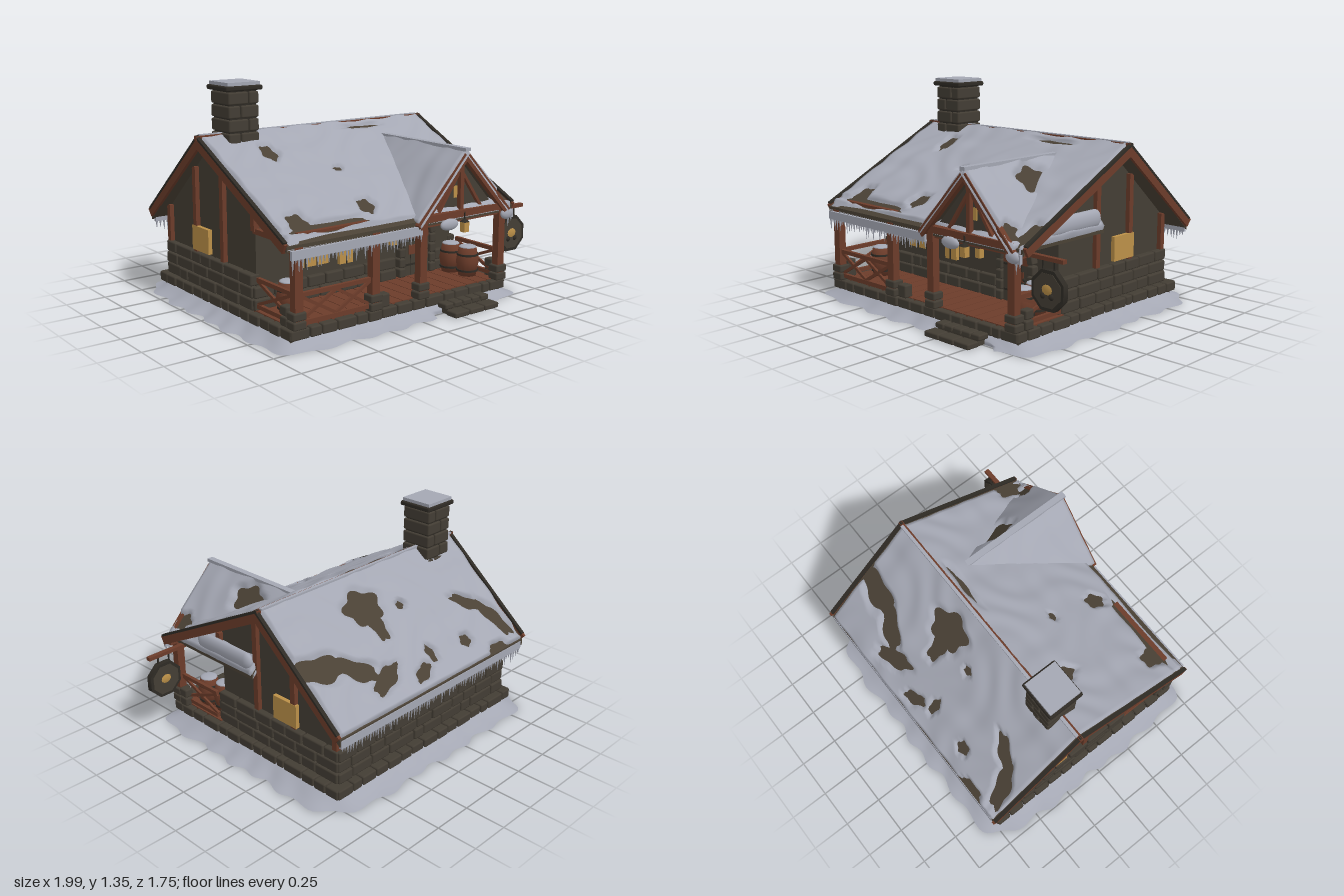
import * as THREE from 'three';
import { RoundedBoxGeometry } from 'three/addons/geometries/RoundedBoxGeometry.js';

export function createModel() {
  const house = new THREE.Group();
  house.name = 'snowyCottage';
  const paint = (name, color, side = THREE.FrontSide) => {
    const m = new THREE.MeshStandardMaterial({ color, side });
    m.name = name;
    return m;
  };
  const snow = paint('snow', 0xa4a7b3, THREE.DoubleSide);
  const stone = paint('stone', 0x433d34);
  const wall = paint('wall', 0x443e34);
  const shingle = paint('shingle', 0x4a4135);
  const wood = paint('wood', 0x6c3c2a);
  const dark = paint('darkTrim', 0x2f2b25);
  const glow = paint('glow', 0xbb9048);

  let seed = 7;
  const rnd = () => (seed = (seed * 16807) % 2147483647) / 2147483647;
  const V = (x, y, z) => new THREE.Vector3(x, y, z);
  const add = (name, geo, mat, x = 0, y = 0, z = 0, parent = house) => {
    const m = new THREE.Mesh(geo, mat);
    m.name = name;
    m.position.set(x, y, z);
    parent.add(m);
    return m;
  };
  const box = (name, mat, x0, x1, y0, y1, z0, z1, parent) =>
    add(name, new THREE.BoxGeometry(x1 - x0, y1 - y0, z1 - z0), mat, (x0 + x1) / 2, (y0 + y1) / 2, (z0 + z1) / 2, parent);
  const block = (name, x0, x1, y0, y1, z0, z1) =>
    add(name, new RoundedBoxGeometry(x1 - x0, y1 - y0, z1 - z0, 1, 0.01), stone, (x0 + x1) / 2, (y0 + y1) / 2, (z0 + z1) / 2);
  // Timber between two points
  const bar = (name, a, b, w, h, mat = wood) => {
    const m = add(name, new THREE.BoxGeometry(w, h, a.distanceTo(b)), mat);
    m.position.copy(a).lerp(b, 0.5);
    m.lookAt(b);
    return m;
  };
  const prism = (pts, depth) =>
    new THREE.ExtrudeGeometry(new THREE.Shape(pts.map(p => new THREE.Vector2(...p))), { depth, bevelEnabled: false });
  // Row of uneven stones along x or z
  const stoneRow = (name, alongX, a, b, across, t, y, h, n) => {
    const cuts = [a];
    for (let i = 1; i < n; i++) cuts.push(a + (b - a) * (i + (rnd() - 0.5) * 0.5) / n);
    cuts.push(b);
    for (let i = 0; i < n; i++) {
      const p = cuts[i] + 0.003, q = cuts[i + 1] - 0.003, o = t / 2 + rnd() * 0.007;
      if (alongX) block(name, p, q, y, y + h, across - o, across + o);
      else block(name, across - o, across + o, y, y + h, p, q);
    }
  };

  // Foundation, porch floor and body
  box('foundation', wall, -0.85, 0.73, 0.01, 0.1, -0.71, 0.69);
  for (const z of [-0.71, 0.69]) stoneRow('baseStone', true, -0.87, 0.75, z, 0.06, 0.05, 0.06, 15);
  for (const x of [-0.84, 0.72]) stoneRow('baseStone', false, -0.74, 0.72, x, 0.06, 0.05, 0.06, 14);
  for (let i = 0; i < 18; i++) box('porchPlank', wood, -0.83 + i * 0.086, -0.749 + i * 0.086, 0.09, 0.115, 0.3, 0.68);
  const body = add('houseBody', prism([[-0.3, 0.1], [0.66, 0.1], [0.66, 0.575], [0.17, 1.005], [-0.3, 0.765]], 1.48), wall, -0.81);
  body.rotation.y = Math.PI / 2;
  for (let r = 0; r < 3; r++) {
    const y = 0.11 + r * 0.071;
    for (const x of [-0.82, 0.68]) stoneRow('wallStone', false, -0.69, 0.31, x, 0.05, y, 0.066, 7 - r % 2);
    stoneRow('wallStone', true, -0.84, 0.7, -0.67, 0.05, y, 0.066, 10 + r % 2);
    if (r < 2) {
      stoneRow('wallStone', true, -0.84, 0.2, 0.3, 0.05, y, 0.066, 7 + r);
      stoneRow('wallStone', true, 0.52, 0.7, 0.3, 0.05, y, 0.066, 2);
    }
  }

  // Lit windows
  const windowAt = (x, y, z, w, h, turn, panes = 0) => {
    const g = new THREE.Group();
    g.name = 'window';
    g.position.set(x, y, z);
    g.rotation.y = turn;
    house.add(g);
    box('windowPane', glow, -w / 2, w / 2, -h / 2, h / 2, -0.01, 0.015, g);
    for (let i = 1; i < panes; i++) box('windowBar', dark, -w / 2 + w * i / panes - 0.004, -w / 2 + w * i / panes + 0.004, -h / 2, h / 2, 0.01, 0.02, g);
    if (panes) box('windowBar', dark, -w / 2, w / 2, h * 0.1 - 0.004, h * 0.1 + 0.004, 0.01, 0.02, g);
  };
  windowAt(-0.45, 0.395, 0.31, 0.25, 0.18, 0, 3);
  windowAt(-0.19, 0.375, 0.31, 0.1, 0.19, 0, 2);
  for (const x of [0.31, -0.35]) windowAt(x, 0.4, -0.653, 0.2, 0.15, Math.PI);
  windowAt(0.685, 0.405, -0.265, 0.19, 0.15, Math.PI / 2);
  windowAt(-0.825, 0.405, -0.265, 0.19, 0.15, -Math.PI / 2);

  // Dark door under a timber arch, with a stone surround
  box('door', wall, 0.265, 0.465, 0.115, 0.36, 0.3, 0.325);
  add('doorArch', new THREE.CylinderGeometry(0.1, 0.1, 0.03, 20, 1, false, Math.PI / 2, Math.PI).rotateX(Math.PI / 2), wood, 0.365, 0.36, 0.312);
  box('doorArchFoot', wood, 0.265, 0.465, 0.35, 0.362, 0.3, 0.327);
  box('doorPanel', wood, 0.3, 0.43, 0.25, 0.31, 0.32, 0.329);
  for (const y of [0.18, 0.335]) box('doorStrap', dark, 0.27, 0.42, y, y + 0.012, 0.325, 0.331);
  for (const x of [0.315, 0.365, 0.415]) box('doorGroove', dark, x - 0.002, x + 0.002, 0.12, 0.35, 0.323, 0.327);
  add('doorKnob', new THREE.SphereGeometry(0.01, 10, 8), dark, 0.44, 0.27, 0.335);
  for (const s of [-1, 1]) for (let i = 0; i < 4; i++)
    block('doorJamb', 0.365 + s * 0.125 - 0.025, 0.365 + s * 0.125 + 0.025, 0.115 + i * 0.063, 0.173 + i * 0.063, 0.28, 0.345);
  for (let i = 0; i < 7; i++) {
    const a = (i + 0.5) / 7 * Math.PI;
    add('archStone', new RoundedBoxGeometry(0.045, 0.052, 0.06, 1, 0.008), stone,
      0.365 + Math.cos(a) * 0.125, 0.365 + Math.sin(a) * 0.125, 0.315).rotation.z = a;
  }

  // Porch posts, footings and beams
  for (const x of [-0.815, -0.29, 0.065, 0.705]) {
    box('porchPost', wood, x - 0.026, x + 0.026, 0.11, 0.56, 0.675, 0.723);
    for (const y of [0.11, 0.16]) block('postFooting', x - 0.043, x + 0.043, y, y + 0.047, 0.66, 0.735);
  }
  for (const x of [-0.825, 0.725]) for (const y of [0.11, 0.17]) block('cornerStone', x - 0.028, x + 0.028, y, y + 0.055, 0.59, 0.655);
  block('porchWallStone', -0.245, -0.175, 0.11, 0.19, 0.65, 0.71);
  bar('eaveBeam', V(-0.86, 0.545, 0.69), V(0.78, 0.545, 0.69), 0.04, 0.035);
  for (const x of [-0.815, 0.7]) {
    bar('sideBeam', V(x, 0.57, 0.3), V(x, 0.57, 0.7), 0.03, 0.03);
    const c = x < 0 ? -0.82 : 0.68;
    for (const [z, low, top] of [[0.31, 0.57, 0.71], [-0.02, 0.32, 0.9], [-0.33, 0.32, 0.84], [-0.66, 0.32, 0.55]])
      box('wallTimber', wood, c - 0.018, c + 0.018, low, top, z - 0.018, z + 0.018);
  }

  // Crossed railings
  const railing = (a, b, n) => {
    const at = (t, y) => a.clone().lerp(b, t).setY(y);
    for (const y of [0.14, 0.295]) bar('rail', at(0, y), at(1, y), 0.022, 0.024);
    for (let i = 0; i < n; i++) {
      bar('railCross', at(i / n, 0.15), at((i + 1) / n, 0.285), 0.014, 0.018);
      bar('railCross', at(i / n, 0.285), at((i + 1) / n, 0.15), 0.014, 0.018);
    }
  };
  railing(V(-0.79, 0, 0.7), V(-0.32, 0, 0.7), 2);
  for (const x of [-0.815, 0.705]) railing(V(x, 0, 0.33), V(x, 0, 0.66), 1);

  // Snow-topped barrels
  for (const [x, z] of [[-0.7, 0.46], [0.59, 0.4], [0.61, 0.53]]) {
    const profile = [[0, 0], [0.055, 0], [0.072, 0.09], [0.055, 0.18], [0, 0.18]].map(p => new THREE.Vector2(...p));
    add('barrel', new THREE.LatheGeometry(profile, 14), wood, x, 0.115, z);
    for (const y of [0.15, 0.25]) add('barrelHoop', new THREE.CylinderGeometry(0.068, 0.068, 0.012, 14), dark, x, y, z);
    add('barrelSnow', new THREE.SphereGeometry(0.055, 14, 8).scale(1, 0.25, 1), snow, x, 0.296, z);
  }

  // Main roof and its edge boards
  const roof = add('mainRoof', prism([[-0.72, 0.54], [-0.72, 0.575], [0.17, 1.03], [0.79, 0.485], [0.79, 0.44], [0.17, 0.985]], 1.68), shingle, -0.89);
  roof.rotation.y = Math.PI / 2;
  for (const x of [-0.895, 0.8]) {
    bar('bargeBoard', V(x, 1.01, -0.18), V(x, 0.56, 0.712), 0.02, 0.055);
    bar('bargeBoard', V(x, 1.01, -0.16), V(x, 0.485, -0.785), 0.02, 0.055);
    bar('bargeCap', V(x, 1.045, -0.18), V(x, 0.592, 0.715), 0.024, 0.014, dark);
    bar('bargeCap', V(x, 1.045, -0.16), V(x, 0.515, -0.785), 0.024, 0.014, dark);
  }
  bar('ridgePole', V(-0.91, 1.035, -0.17), V(0.81, 1.035, -0.17), 0.025, 0.025);
  bar('eaveBoard', V(-0.78, 0.603, 0.645), V(-0.3, 0.603, 0.645), 0.045, 0.03);

  // Entrance gable
  add('gableRoof', prism([[-0.36, 0.535], [0, 0.915], [0.36, 0.535], [0.36, 0.565], [0, 0.95], [-0.36, 0.565]], 0.77), shingle, 0.37, 0, -0.03);
  add('gableWall', prism([[-0.3, 0.58], [0.3, 0.58], [0, 0.9]], 0.03), wall, 0.37, 0, 0.65);
  bar('gableTie', V(0.06, 0.58, 0.71), V(0.72, 0.58, 0.71), 0.045, 0.04);
  bar('gableKingPost', V(0.37, 0.58, 0.7), V(0.37, 0.91, 0.7), 0.028, 0.028);
  for (const s of [-1, 1]) {
    bar('gableRafter', V(0.37 + s * 0.36, 0.545, 0.732), V(0.37, 0.925, 0.732), 0.036, 0.045);
    bar('gableInnerRafter', V(0.37 + s * 0.17, 0.6, 0.69), V(0.37, 0.84, 0.69), 0.025, 0.018);
    box('gablePane', glow, 0.37 + s * 0.027 - 0.013, 0.37 + s * 0.027 + 0.013, 0.67, 0.74, 0.68, 0.686);
  }

  // Drifted snow sheet: thickness sinks below the shingles at bare patches [x, z, rx, rz, turn]
  const snowSheet = (name, origin, u, v, thick, patches, nu = 100, nv = 56) => {
    const n = new THREE.Vector3().crossVectors(u, v).normalize();
    if (n.y < 0) n.negate();
    const pos = [], idx = [];
    for (let j = 0; j <= nv; j++) for (let i = 0; i <= nu; i++) {
      const p = origin.clone().addScaledVector(u, i / nu).addScaledVector(v, j / nv);
      let h = thick * (1 + 0.35 * Math.sin(p.x * 15 + 2 * Math.sin(p.z * 11)) * Math.sin(p.z * 16 + 2 * Math.sin(p.x * 9)));
      for (const [x, z, rx, rz, t = 0] of patches) {
        const dx = p.x - x, dz = p.z - z;
        const a = (dx * Math.cos(t) + dz * Math.sin(t)) / rx, b = (dz * Math.cos(t) - dx * Math.sin(t)) / rz;
        const d = Math.hypot(a, b) + 0.15 * Math.sin(5 * Math.atan2(b, a) + x * 30);
        h = Math.min(h, (d - 1) * 0.06);
      }
      if (i === 0 || i === nu || j === nv) h = Math.min(h, -0.02);
      p.addScaledVector(n, Math.max(h, -0.02));
      pos.push(p.x, p.y, p.z);
    }
    for (let j = 0; j < nv; j++) for (let i = 0; i < nu; i++) {
      const a = j * (nu + 1) + i, b = a + nu + 1;
      idx.push(a, b, a + 1, b, b + 1, a + 1);
    }
    const g = new THREE.BufferGeometry();
    g.setAttribute('position', new THREE.Float32BufferAttribute(pos, 3));
    g.setIndex(idx);
    g.computeVertexNormals();
    add(name, g, snow);
  };
  snowSheet('frontRoofSnow', V(-0.885, 1.03, -0.17), V(1.675, 0, 0), V(0, -0.46, 0.9), 0.02, [
    [-0.53, 0.02, 0.045, 0.07], [-0.22, 0.54, 0.05, 0.06, 0.5], [0.28, -0.12, 0.16, 0.016], [-0.54, 0.635, 0.27, 0.03],
    [-0.72, 0.58, 0.06, 0.07], [-0.35, 0.705, 0.56, 0.02], [0.74, 0.62, 0.05, 0.09], [-0.18, 0.22, 0.03, 0.018]]);
  snowSheet('backRoofSnow', V(-0.885, 1.03, -0.17), V(1.675, 0, 0), V(0, -0.545, -0.62), 0.02, [
    [-0.78, -0.64, 0.05, 0.12, -0.5], [-0.64, -0.51, 0.11, 0.035, 0.5], [-0.44, -0.67, 0.045, 0.03], [-0.13, -0.65, 0.03, 0.045],
    [0, -0.71, 0.08, 0.03, -0.3], [0.12, -0.33, 0.14, 0.08], [0.1, -0.44, 0.05, 0.07], [0.27, -0.66, 0.13, 0.04, -0.3],
    [0.42, -0.57, 0.14, 0.05, 0.5], [0.64, -0.5, 0.17, 0.06, 0.15], [-0.14, -0.39, 0.03, 0.02], [-0.65, -0.77, 0.08, 0.025]]);
  snowSheet('gableSnowLeft', V(0.37, 0.952, 0.755), V(0, 0, -0.79), V(-0.37, -0.395, 0), 0.018, [], 50, 30);
  snowSheet('gableSnowRight', V(0.37, 0.952, 0.755), V(0, 0, -0.79), V(0.37, -0.395, 0), 0.018, [[0.46, 0.29, 0.06, 0.11], [0.66, 0.68, 0.04, 0.06]], 50, 30);
  bar('gableRidgeSnow', V(0.37, 0.962, -0.02), V(0.37, 0.962, 0.755), 0.04, 0.02, snow);
  bar('ridgeSnow', V(-0.88, 1.048, -0.18), V(0.78, 1.048, -0.18), 0.02, 0.012, snow);
  const gableDrift = add('gableEaveDrift', new THREE.CapsuleGeometry(0.05, 0.38, 6, 14).rotateX(Math.PI / 2), snow, 0.71, 0.628, 0.23);
  gableDrift.scale.set(0.6, 1.1, 1);
  for (const [x, w] of [[0.25, 0.07], [0.73, 0.05]])
    add('hangingSnow', new THREE.SphereGeometry(1, 14, 10).scale(w, 0.035, 0.022), snow, x, 0.53, 0.735);

  // Snow lips and icicles along the eaves
  const eave = (x0, x1, y, z) => {
    bar('eaveSnow', V(x0, y, z), V(x1, y, z), 0.018, 0.05, snow);
    for (let x = x0 + 0.01; x < x1; x += 0.016 + rnd() * 0.012) {
      const len = 0.025 + rnd() * 0.065;
      add('icicle', new THREE.ConeGeometry(0.008, len, 6).rotateX(Math.PI), snow, x, y - 0.02 - len / 2, z);
    }
  };
  eave(-0.87, 0.04, 0.525, 0.73);
  eave(0.74, 0.785, 0.525, 0.73);
  eave(-0.87, 0.78, 0.45, -0.785);

  // Chimney
  box('chimneyCore', dark, -0.725, -0.545, 0.9, 1.3, -0.265, -0.085);
  for (let r = 0; r < 5; r++) {
    const y = 0.9 + r * 0.08, cx = -0.635 + (r % 2 ? -0.02 : 0.035);
    for (const [a, b] of [[-0.738, cx - 0.003], [cx + 0.003, -0.532]]) block('chimneyStone', a, b, y, y + 0.073, -0.278, -0.072);
  }
  add('chimneyCap', new RoundedBoxGeometry(0.25, 0.03, 0.23, 1, 0.01), dark, -0.635, 1.315, -0.175);
  box('chimneySnow', snow, -0.745, -0.525, 1.328, 1.35, -0.28, -0.07);

  // Front steps
  for (const [n, y, z0, z1] of [[3, 0.005, 0.795, 0.88], [5, 0.035, 0.72, 0.795]])
    for (let i = 0; i < n; i++) block('step', 0.18 + i * 0.36 / n, 0.175 + (i + 1) * 0.36 / n, y, y + 0.035, z0, z1);
  box('stepCore', wall, 0.2, 0.52, 0.005, 0.05, 0.69, 0.79);

  // Hanging octagonal sign
  bar('signArm', V(0.7, 0.53, 0.62), V(0.99, 0.53, 0.62), 0.03, 0.022);
  for (const x of [0.84, 0.92]) box('signChain', dark, x - 0.004, x + 0.004, 0.46, 0.525, 0.616, 0.624);
  const octagon = (r, d) => new THREE.CylinderGeometry(r, r, d, 8).rotateY(Math.PI / 8).rotateX(Math.PI / 2);
  add('signFrame', octagon(0.12, 0.036), dark, 0.885, 0.36, 0.62);
  add('signBoard', octagon(0.1, 0.042), wall, 0.885, 0.36, 0.62);
  add('signBoss', new THREE.SphereGeometry(0.062, 18, 12).scale(1, 0.8, 0.42), glow, 0.885, 0.365, 0.62);
  for (const x of [0.855, 0.915]) add('signStud', new THREE.SphereGeometry(0.02, 10, 8), dark, x, 0.33, 0.632);

  // Lanterns
  for (const [x, y, z] of [[0.37, 0.5, 0.74], [0.12, 0.385, 0.38]]) {
    box('lanternGlass', glow, x - 0.02, x + 0.02, y - 0.03, y + 0.03, z - 0.018, z + 0.018);
    add('lanternCap', new THREE.ConeGeometry(0.03, 0.025, 4).rotateY(Math.PI / 4), dark, x, y + 0.042, z);
    box('lanternHook', dark, x - 0.003, x + 0.003, y + 0.04, y + 0.09, z - 0.003, z + 0.003);
  }

  // Snow drift skirting the foundation
  const pos = [], idx = [], N = 240, K = 4;
  for (let i = 0; i <= N; i++) {
    const a = i / N * Math.PI * 2, c = Math.cos(a), s = Math.sin(a);
    const k = (c ** 12 + s ** 12) ** (-1 / 12), ko = (c ** 8 + s ** 8) ** (-1 / 8);
    const wave = 0.016 * Math.sin(a * 27) + 0.009 * Math.sin(a * 11 + 1);
    for (let j = 0; j <= K; j++) {
      const t = j / K, r = THREE.MathUtils.lerp(k, ko, t);
      const x = -0.055 + c * r * (0.79 + t * (0.13 + wave));
      let z = -0.02 + s * r * (0.71 + t * (0.115 + wave));
      if (x > 0.12 && x < 0.62) z = Math.min(z, 0.74);
      pos.push(x, 0.002 + 0.064 * (1 - t) ** 1.4, z);
      if (i < N && j < K) {
        const p = i * (K + 1) + j, q = p + K + 1;
        idx.push(p, q, p + 1, q, q + 1, p + 1);
      }
    }
  }
  const drift = new THREE.BufferGeometry();
  drift.setAttribute('position', new THREE.Float32BufferAttribute(pos, 3));
  drift.setIndex(idx);
  drift.computeVertexNormals();
  add('groundSnow', drift, snow);
  return house;
}
